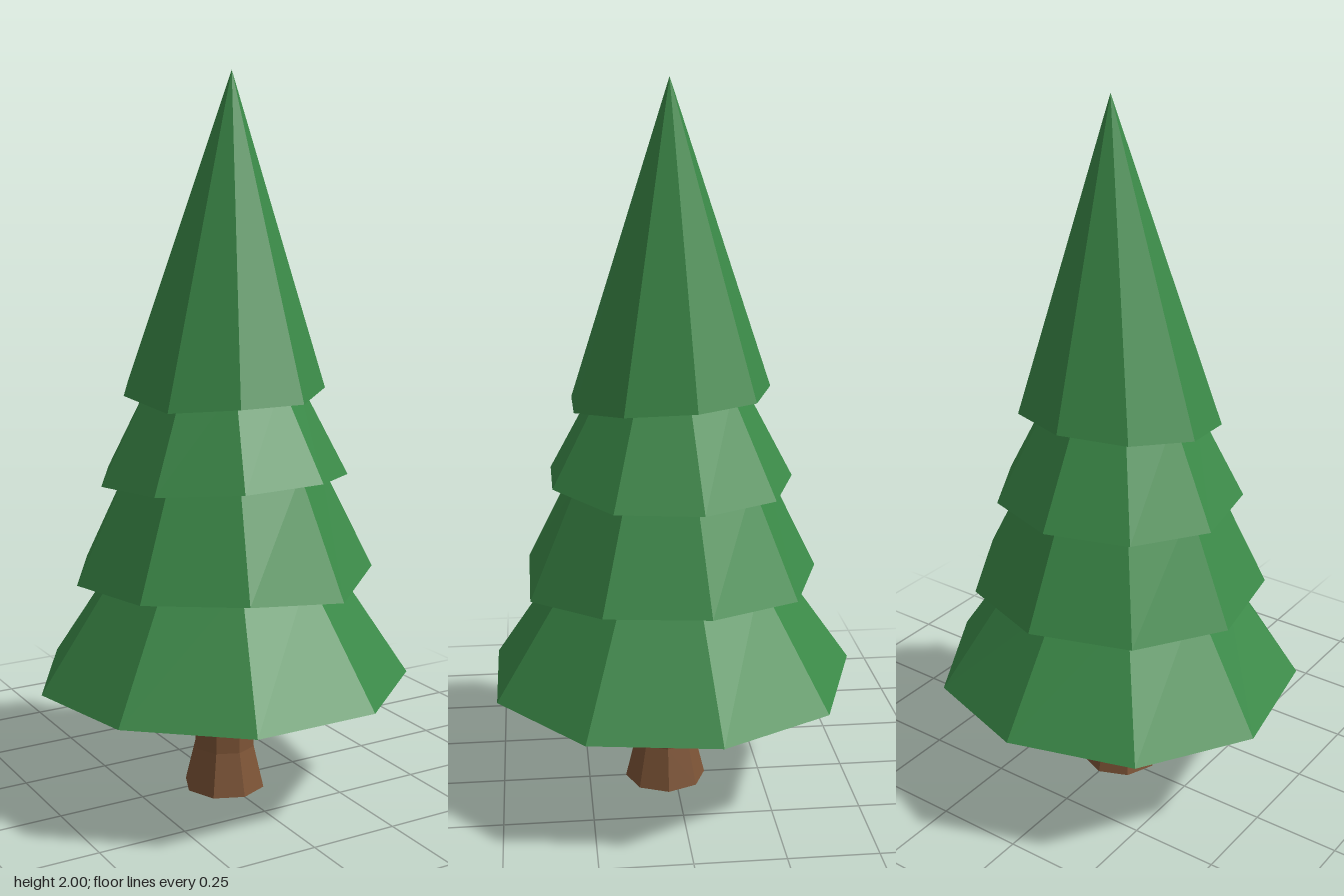
import * as THREE from 'three';

const SIDES = 9;
const CENTRE_Z = 0.015;

// Nine-sided foliage tier: uneven rim, closed underside, tapering to a top ring (or a point when topRadius is 0)
function tierGeometry(radius, rimHeights, topRadius, topY, topX = 0) {
  const ringPoint = (k, r, y, x = 0) => {
    const a = (k / SIDES) * Math.PI * 2;
    return [x + r * Math.sin(a), y, CENTRE_Z - r * Math.cos(a)];
  };
  const meanY = rimHeights.reduce((sum, y) => sum + y, 0) / SIDES;
  const base = [0, meanY, CENTRE_Z];
  const positions = [];
  for (let k = 0; k < SIDES; k++) {
    const n = (k + 1) % SIDES;
    const a = ringPoint(k, radius, rimHeights[k]);
    const b = ringPoint(n, radius, rimHeights[n]);
    const c = ringPoint(k, topRadius, topY, topX);
    const d = ringPoint(n, topRadius, topY, topX);
    positions.push(...b, ...a, ...c);
    if (topRadius > 0) positions.push(...b, ...c, ...d);
    positions.push(...base, ...a, ...b);
  }
  const geometry = new THREE.BufferGeometry();
  geometry.setAttribute('position', new THREE.Float32BufferAttribute(positions, 3));
  geometry.computeVertexNormals();
  return geometry;
}

export function createModel() {
  const tree = new THREE.Group();
  tree.name = 'pineTree';

  const foliage = new THREE.MeshStandardMaterial({ color: 0x3b8a48, flatShading: true });
  foliage.name = 'foliageGreen';
  const bark = new THREE.MeshStandardMaterial({ color: 0x7d5436, flatShading: true });
  bark.name = 'barkBrown';

  // Trunk: eight sides, flared at the foot
  const profile = [[0, 0], [0.116, 0], [0.087, 0.12], [0.08, 0.38]]
    .map(([r, y]) => new THREE.Vector2(r, y));
  const trunk = new THREE.Mesh(new THREE.LatheGeometry(profile, 8), bark);
  trunk.name = 'trunk';
  trunk.position.z = 0.027;
  tree.add(trunk);

  // Foliage, lowest tier first; rim heights run from the back round by the left side
  const tiers = [
    ['lowestTier', 0.525, [0.35, 0.33, 0.338, 0.333, 0.335, 0.335, 0.335, 0.325, 0.335], 0.3, 0.67],
    ['lowerTier', 0.42, [0.64, 0.635, 0.65, 0.645, 0.615, 0.645, 0.635, 0.625, 0.635], 0.272, 0.94],
    ['upperTier', 0.348, [0.91, 0.905, 0.908, 0.907, 0.925, 0.92, 0.905, 0.895, 0.905], 0.205, 1.18],
    ['crownTier', 0.282, [1.17, 1.165, 1.163, 1.15, 1.13, 1.13, 1.115, 1.14, 1.16], 0, 2, 0.028],
  ];
  for (const [name, ...shape] of tiers) {
    const mesh = new THREE.Mesh(tierGeometry(...shape), foliage);
    mesh.name = name;
    tree.add(mesh);
  }
  return tree;
}
